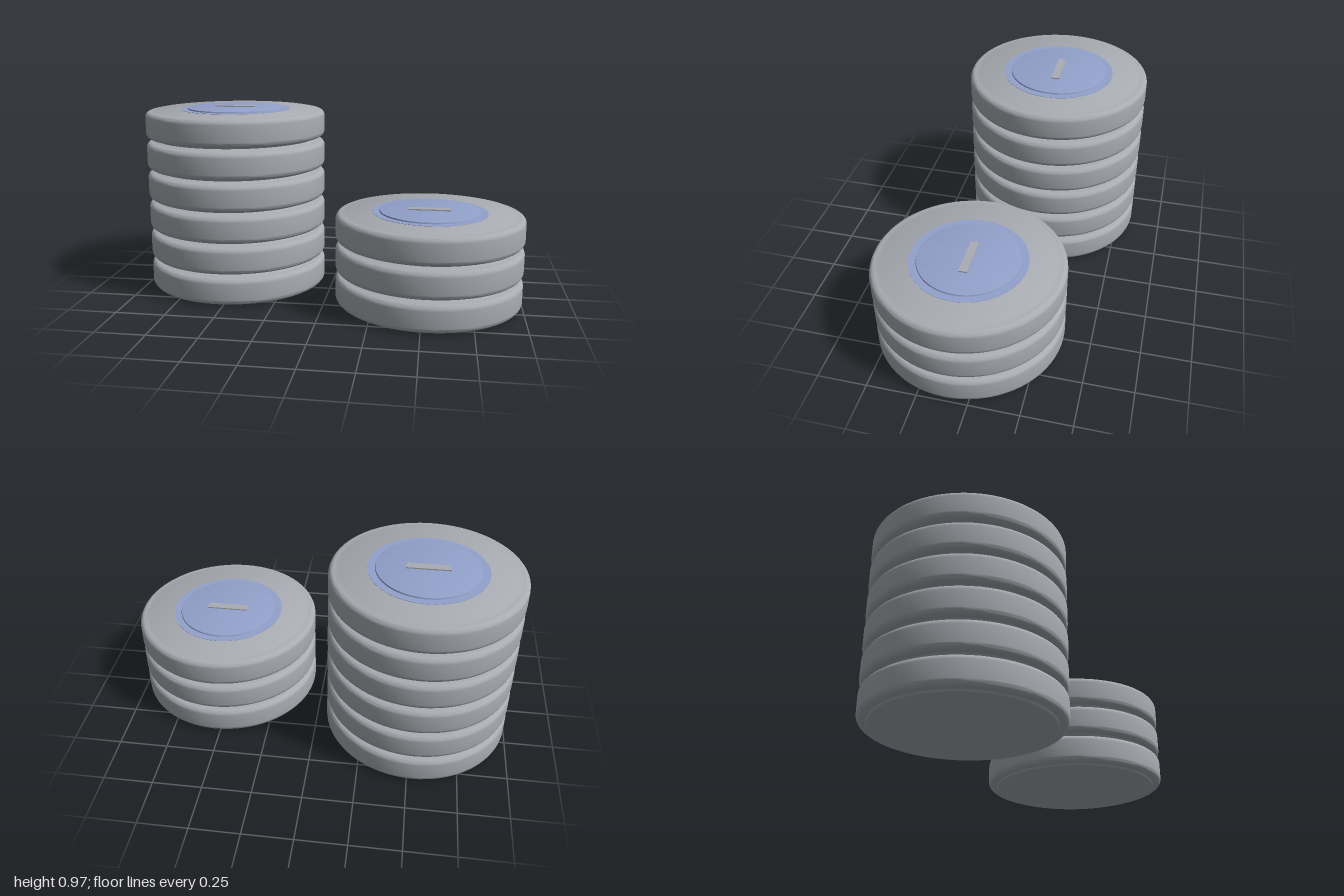
import * as THREE from 'three';
import { toCreasedNormals } from 'three/addons/utils/BufferGeometryUtils.js';

const SPACING = 0.16;

// Lathe a list of [radius, height] points, keeping the hard edges sharp
function turned(points) {
  const profile = points.map(([r, y]) => new THREE.Vector2(r, y));
  return toCreasedNormals(new THREE.LatheGeometry(profile, 72), 0.6);
}

// Points of a quarter-round edge about (r, y), between two angles
function roundEdge(r, y, radius, from, to, steps = 6) {
  return Array.from({ length: steps + 1 }, (_, i) => {
    const a = from + (to - from) * i / steps;
    return [r + radius * Math.cos(a), y + radius * Math.sin(a)];
  });
}

export function createModel() {
  const metal = new THREE.MeshStandardMaterial({ color: 0xa9adb3 });
  metal.name = 'grey metal';
  const blue = new THREE.MeshStandardMaterial({ color: 0x93a1cb });
  blue.name = 'soft blue';

  // Disc body: rounded rim with a slightly raised face on both sides
  const bodyGeometry = turned([
    [0, 0], [0.425, 0], [0.432, 0.009],
    ...roundEdge(0.447, 0.037, 0.028, -Math.PI / 2, 0),
    ...roundEdge(0.447, 0.12, 0.028, 0, Math.PI / 2),
    [0.432, 0.148], [0.422, 0.153], [0, 0.153],
  ]);
  // Thin blue plate and the chamfered medallion standing on it
  const plateGeometry = turned([[0.29, 0.152], [0.29, 0.1545], [0, 0.1545]]);
  const medallionGeometry = turned([[0.254, 0.154], [0.252, 0.161], [0.243, 0.163], [0, 0.163]]);
  const barGeometry = new THREE.BoxGeometry(0.215, 0.008, 0.042);

  function createDisc() {
    const disc = new THREE.Group();
    disc.name = 'disc';
    const add = (name, geometry, material, y = 0) => {
      const mesh = new THREE.Mesh(geometry, material);
      mesh.name = name;
      mesh.position.y = y;
      disc.add(mesh);
    };
    add('body', bodyGeometry, metal);
    add('facePlate', plateGeometry, blue);
    add('medallion', medallionGeometry, blue);
    add('centreBar', barGeometry, metal, 0.165);
    return disc;
  }

  function createStack(name, count, x, z) {
    const stack = new THREE.Group();
    stack.name = name;
    for (let i = 0; i < count; i++) {
      const disc = createDisc();
      disc.position.y = i * SPACING;
      stack.add(disc);
    }
    stack.position.set(x, 0, z);
    return stack;
  }

  const model = new THREE.Group();
  model.name = 'discStacks';
  model.add(createStack('tallStack', 6, -0.525, -0.11));
  model.add(createStack('shortStack', 3, 0.525, 0.11));
  return model;
}
